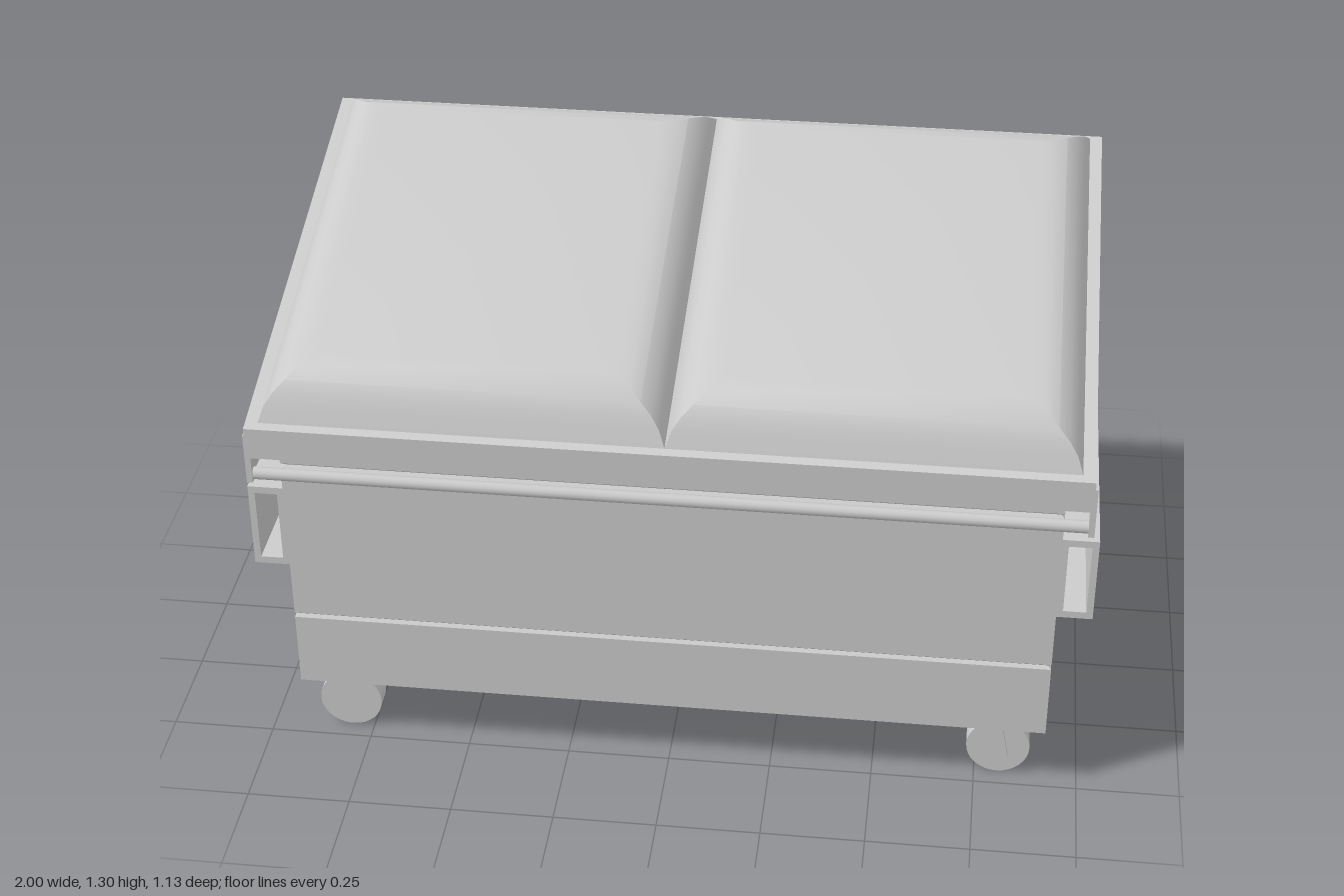
import * as THREE from 'three';
import { toCreasedNormals } from 'three/addons/utils/BufferGeometryUtils.js';

const material = new THREE.MeshStandardMaterial({ color: 0xcccccc, side: THREE.DoubleSide });

function add(parent, geometry, name, x = 0, y = 0, z = 0) {
  const mesh = new THREE.Mesh(geometry, material);
  mesh.name = name;
  mesh.position.set(x, y, z);
  parent.add(mesh);
  return mesh;
}

// Rectangular ring; height is a function of z so that it can slope
const ring = (x0, x1, zBack, zFront, height) =>
  [[x0, zFront], [x1, zFront], [x1, zBack], [x0, zBack]].map(([x, z]) => [x, height(z), z]);

// Skin a stack of four-cornered rings, capped at both ends
function loft(rings, crease) {
  const index = [0, 3, 2, 0, 2, 1];
  for (let r = 0; r < rings.length - 1; r++) {
    for (let i = 0; i < 4; i++) {
      const a = r * 4 + i, b = r * 4 + (i + 1) % 4;
      index.push(a, b, b + 4, a, b + 4, a + 4);
    }
  }
  const t = (rings.length - 1) * 4;
  index.push(t, t + 1, t + 2, t, t + 2, t + 3);
  const geometry = new THREE.BufferGeometry();
  geometry.setAttribute('position', new THREE.Float32BufferAttribute(rings.flat(2), 3));
  geometry.setIndex(index);
  return toCreasedNormals(geometry, crease);
}

function extrude(points, depth, hole) {
  const shape = new THREE.Shape(points.map(p => new THREE.Vector2(...p)));
  if (hole) shape.holes.push(new THREE.Path(hole.map(p => new THREE.Vector2(...p))));
  return new THREE.ExtrudeGeometry(shape, { depth, bevelEnabled: false }).translate(0, 0, -depth / 2);
}

const rect = (x0, x1, y0, y1) => [[x0, y0], [x1, y0], [x1, y1], [x0, y1]];

// Sloping planes of the rim
const rimBottom = z => 0.86 + (0.565 - z) * 0.239;
const rimTop = z => 0.94 + (0.565 - z) * 0.261;

function makeCaster() {
  const caster = new THREE.Group();
  caster.name = 'caster';
  const wheel = new THREE.CylinderGeometry(0.077, 0.077, 0.054, 32).rotateX(Math.PI / 2);
  add(caster, wheel, 'wheel', 0.805, 0.077, 0);
  const plate = extrude([[0.79, 0.055], [0.83, 0.055], [0.81, 0.16], [0.735, 0.16]], 0.012);
  for (const s of [-1, 1]) add(caster, plate, 'forkPlate', 0, 0, s * 0.034);
  add(caster, new THREE.BoxGeometry(0.075, 0.01, 0.08), 'forkBridge', 0.7725, 0.161, 0);
  const axle = new THREE.CylinderGeometry(0.01, 0.01, 0.078, 12).rotateX(Math.PI / 2);
  add(caster, axle, 'axle', 0.805, 0.077, 0);
  return caster;
}

export function createModel() {
  const model = new THREE.Group();
  model.name = 'dumpster';

  // Body with two pressed grooves and a sloping top
  const levels = [[0.165, 0], [0.358, 0], [0.365, 0.008], [0.372, 0],
    [0.793, 0], [0.8, 0.008], [0.807, 0]];
  const bodyRings = levels.map(([y, d]) => ring(-0.915 + d, 0.915 - d, -0.5 + d, 0.5 - d, () => y));
  bodyRings.push(ring(-0.915, 0.915, -0.5, 0.5, z => rimBottom(z) + 0.01));
  add(model, loft(bodyRings, 0.3), 'body');

  // Overhanging rim
  const rimRings = [rimBottom, rimTop].map(h => ring(-0.975, 0.975, -0.565, 0.565, h));
  add(model, loft(rimRings, 0.3), 'rim');

  // Domed lids: [height, front inset, back inset, side inset]
  const dome = [[0.001, 0, 0, 0], [0.036, 0.015, 0.04, 0.014], [0.062, 0.028, 0.075, 0.034],
    [0.083, 0.045, 0.11, 0.06], [0.098, 0.075, 0.14, 0.09], [0.104, 0.11, 0.155, 0.125]];
  for (const s of [-1, 1]) {
    const x0 = s < 0 ? -0.945 : 0, x1 = s < 0 ? 0 : 0.945;
    const rings = dome.map(([h, f, b, d]) =>
      ring(x0 + d, x1 - d, -0.555 + b, 0.545 - f, z => rimTop(z) + h));
    add(model, loft(rings, 0.7), s < 0 ? 'rightLid' : 'leftLid');
  }

  // Hollow fork pockets on both sides
  const pocket = extrude(rect(-0.043, 0.043, 0.515, 0.735), 1.005, rect(-0.027, 0.027, 0.533, 0.717));
  for (const s of [-1, 1]) add(model, pocket, 'forkPocket', s * 0.957, 0, -0.003);

  // Front bar hung from a bracket at each end
  const bar = new THREE.CylinderGeometry(0.015, 0.015, 1.94, 12).rotateZ(Math.PI / 2);
  add(model, bar, 'frontBar', 0, 0.802, 0.538);
  for (const s of [-1, 1]) {
    add(model, new THREE.BoxGeometry(0.014, 0.13, 0.034), 'barBracket', s * 0.975, 0.85, 0.538);
  }

  // Casters at the four corners
  for (const s of [-1, 1]) {
    for (const z of [-0.426, 0.426]) {
      const caster = makeCaster();
      caster.position.z = z;
      if (s < 0) caster.rotation.y = Math.PI;
      model.add(caster);
    }
  }
  return model;
}
